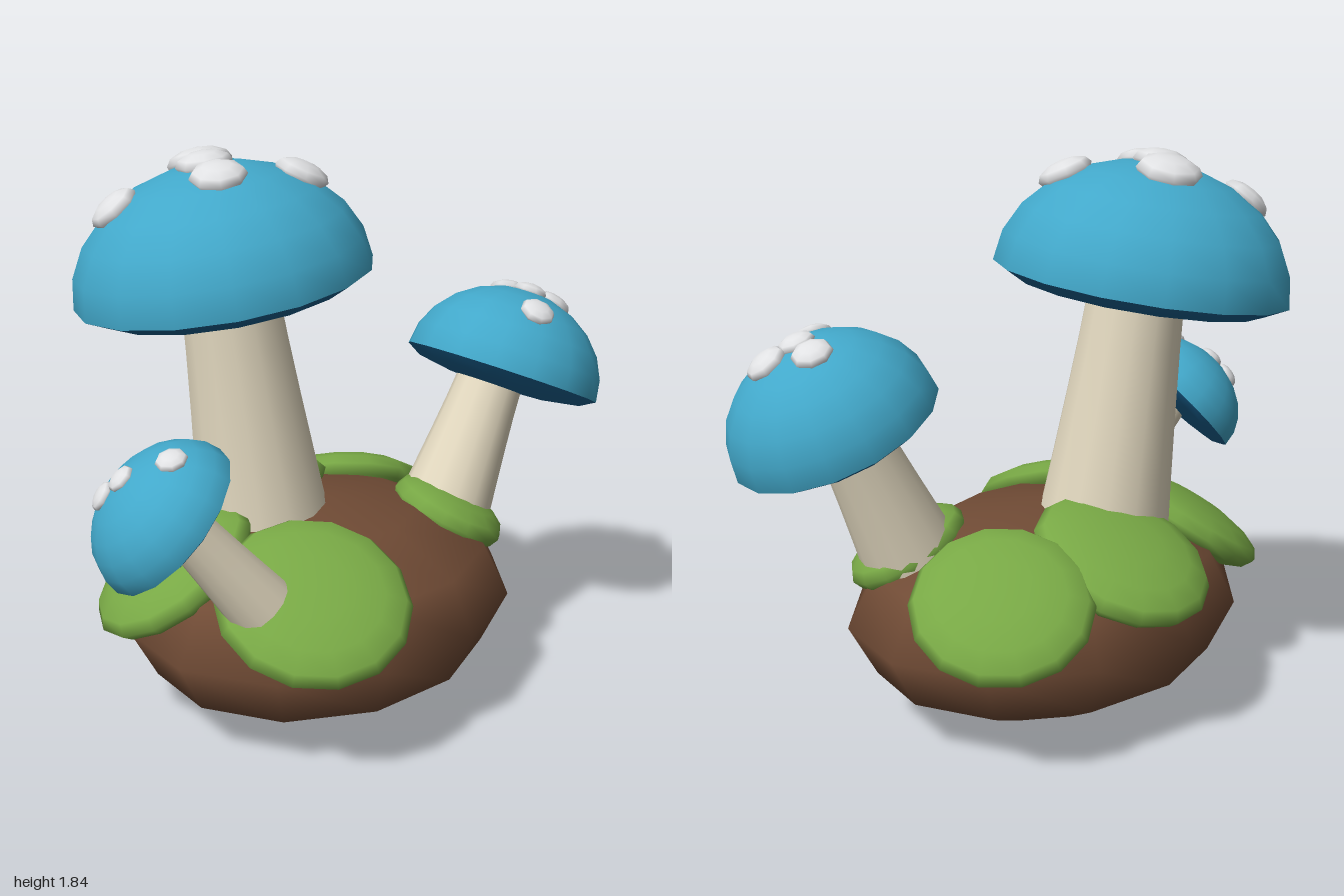
import * as THREE from 'three';

const V = (a) => new THREE.Vector3(...a);
const UP = new THREE.Vector3(0, 1, 0);

function paint(name, hex) {
  const m = new THREE.MeshStandardMaterial({ color: hex });
  m.name = name;
  return m;
}

function part(parent, name, geometry, material) {
  const mesh = new THREE.Mesh(geometry, material);
  mesh.name = name;
  parent.add(mesh);
  return mesh;
}

// Finds the top point and normal of an ellipsoid (a scaled unit sphere) at a given x, z
function surfaceAt(mesh, x, z) {
  mesh.updateMatrix();
  const inv = mesh.matrix.clone().invert();
  const o = new THREE.Vector3(x, 4, z).applyMatrix4(inv);
  const d = new THREE.Vector3(x, 3, z).applyMatrix4(inv).sub(o);
  const a = d.dot(d), b = o.dot(d), c = o.dot(o) - 1;
  const t = (-b - Math.sqrt(Math.max(0, b * b - a * c))) / a;
  const p = o.addScaledVector(d, t);
  const normal = p.clone().applyNormalMatrix(new THREE.Matrix3().getNormalMatrix(mesh.matrix));
  return { point: p.applyMatrix4(mesh.matrix), normal: normal.normalize() };
}

// Lays a flattened blob on an ellipsoid's surface
function blob(parent, host, name, geometry, material, [x, z, rx, rz], thickness, lift) {
  const { point, normal } = surfaceAt(host, x, z);
  const mesh = part(parent, name, geometry, material);
  mesh.position.copy(point).addScaledVector(normal, lift);
  mesh.quaternion.setFromUnitVectors(UP, normal);
  mesh.scale.set(rx, thickness, rz);
}

export function createModel() {
  const model = new THREE.Group();
  model.name = 'mushroomCluster';

  const soilBrown = paint('soilBrown', 0x704b35);
  const mossGreen = paint('mossGreen', 0x78a845);
  const stemCream = paint('stemCream', 0xe3d9c0);
  const capBlue = paint('capBlue', 0x42a8ca);
  const gillBlue = paint('gillBlue', 0x1a6494);
  const spotWhite = paint('spotWhite', 0xe0e1e3);

  // Soil mound
  const soil = part(model, 'soilMound', new THREE.SphereGeometry(1, 12, 6), soilBrown);
  soil.position.set(0.03, 0.345, 0.03);
  soil.scale.set(0.72, 0.345, 0.6);

  // Moss patches: x, z, radius x, radius z
  const mossGeo = new THREE.SphereGeometry(1, 14, 8);
  [
    [-0.405, 0.325, 0.3, 0.31],
    [0.43, 0.29, 0.215, 0.2],
    [0.53, -0.225, 0.28, 0.29],
    [0.1, -0.355, 0.28, 0.3],
    [-0.465, -0.2, 0.3, 0.28],
  ].forEach((m) => blob(model, soil, 'mossPatch', mossGeo, mossGreen, m, 0.09, -0.02));

  // Shared cap shapes: unit dome and rounded underside
  const domeGeo = new THREE.SphereGeometry(1, 16, 6, 0, Math.PI * 2, 0, Math.PI / 2);
  const gillGeo = new THREE.LatheGeometry(
    [[0, -0.19], [0.5, -0.165], [0.85, -0.1], [1, 0]].map((p) => new THREE.Vector2(...p)), 16);
  const spotGeo = new THREE.SphereGeometry(1, 8, 6);

  const mushrooms = [
    {
      name: 'largeMushroom', rim: [-0.175, 1.42, -0.2], axis: [-0.117, 1, -0.105], r: 0.48, h: 0.38,
      base: [-0.09, 0.62, -0.12], top: [-0.17, 1.42, -0.19], rBase: 0.22, rTop: 0.155,
      spots: [[-0.44, -0.41, 0.085], [-0.12, -0.34, 0.105], [-0.22, -0.235, 0.09],
        [-0.3, -0.11, 0.09], [-0.02, -0.01, 0.09]],
    },
    {
      name: 'leftMushroom', rim: [0.67, 1.02, 0.33], axis: [0.435, 1, 0.1], r: 0.34, h: 0.295,
      base: [0.45, 0.57, 0.25], top: [0.645, 1.02, 0.31], rBase: 0.16, rTop: 0.112,
      spots: [[0.595, 0.5, 0.06], [0.8, 0.27, 0.065], [0.77, 0.375, 0.06], [0.855, 0.415, 0.07]],
    },
    {
      name: 'rightMushroom', rim: [-0.762, 0.87, 0.075], axis: [-0.61, 0.68, -0.4], r: 0.253, h: 0.198,
      base: [-0.535, 0.56, 0.22], top: [-0.75, 0.875, 0.09], rBase: 0.105, rTop: 0.074,
      spots: [[-0.89, -0.06, 0.048], [-0.875, 0, 0.045], [-0.81, 0.135, 0.048]],
    },
  ];

  for (const m of mushrooms) {
    const group = new THREE.Group();
    group.name = m.name;
    model.add(group);

    // Stem, flaring towards its foot
    const base = V(m.base), dir = V(m.top).sub(base);
    const length = dir.length();
    const profile = [0, 0.25, 0.5, 0.75, 1].map((t) => new THREE.Vector2(
      m.rTop + (m.rBase - m.rTop) * Math.pow(1 - t, 1.2), t * length));
    const stem = part(group, 'stem', new THREE.LatheGeometry(profile, 14), stemCream);
    stem.position.copy(base);
    stem.quaternion.setFromUnitVectors(UP, dir.normalize());

    // Cap dome and underside
    const dome = part(group, 'capDome', domeGeo, capBlue);
    const gills = part(group, 'capUnderside', gillGeo, gillBlue);
    for (const mesh of [dome, gills]) {
      mesh.position.copy(V(m.rim));
      mesh.quaternion.setFromUnitVectors(UP, V(m.axis).normalize());
      mesh.scale.set(m.r, m.h, m.r);
    }

    // Raised spots
    for (const [x, z, r] of m.spots) {
      blob(group, dome, 'capSpot', spotGeo, spotWhite, [x, z, r, r], r * 0.45, 0);
    }
  }
  return model;
}
